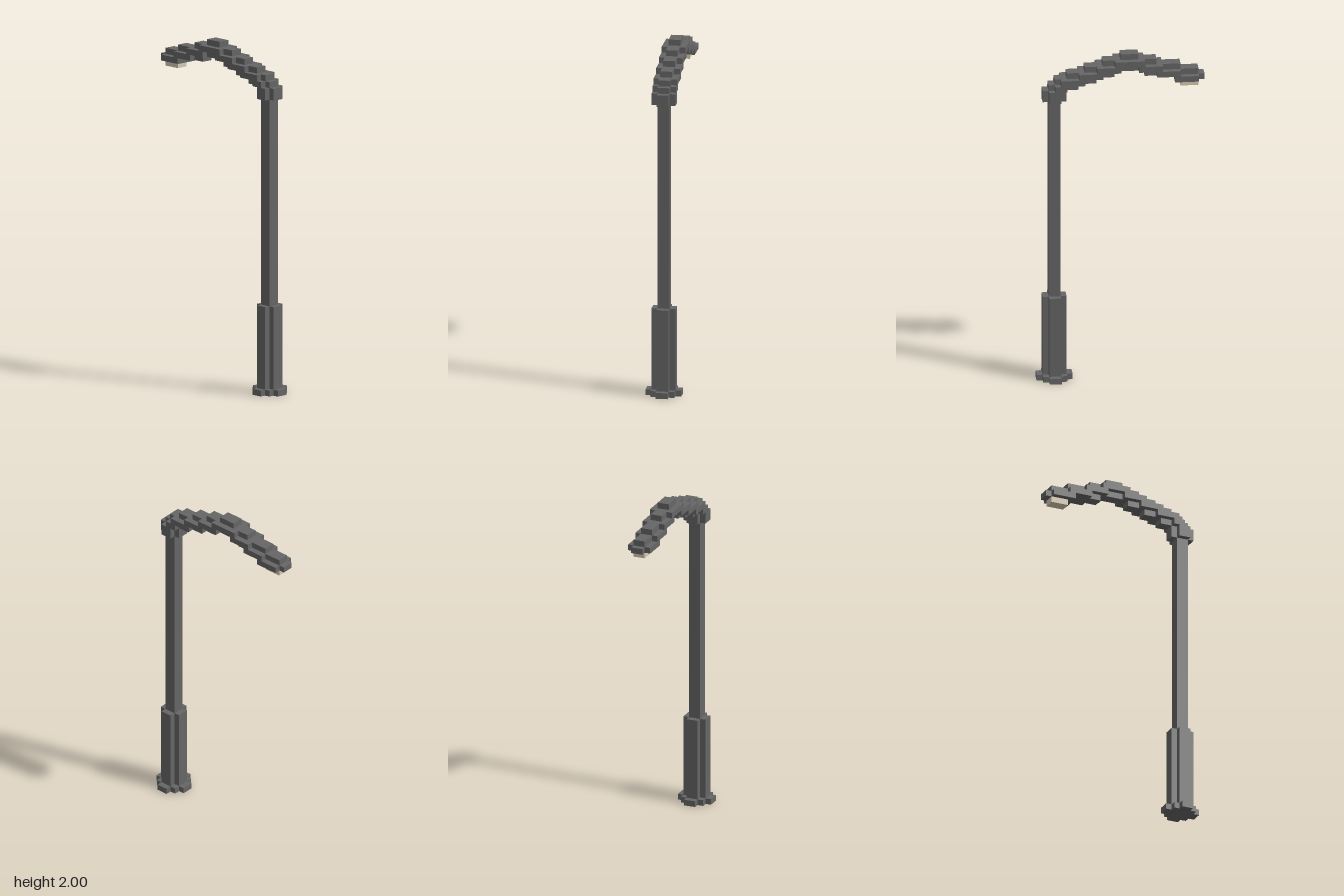
import * as THREE from 'three';
import { mergeGeometries } from 'three/addons/utils/BufferGeometryUtils.js';

const U = 2 / 58; // size of one block

// Box between block coordinates
function block(x0, x1, y0, y1, z0, z1) {
  const g = new THREE.BoxGeometry((x1 - x0) * U, (y1 - y0) * U, (z1 - z0) * U);
  return g.translate((x0 + x1) / 2 * U, (y0 + y1) / 2 * U, (z0 + z1) / 2 * U);
}

// Stepped round column about the pole axis; widths lists [halfX, outer halfZ]
// from the widest x to the narrowest, each adding a strip on both z sides
function column(y0, y1, widths) {
  const parts = [];
  let inner = 0;
  for (const [hx, hz] of widths) {
    if (inner === 0) parts.push(block(11 - hx, 11 + hx, y0, y1, -hz, hz));
    else {
      parts.push(block(11 - hx, 11 + hx, y0, y1, inner, hz));
      parts.push(block(11 - hx, 11 + hx, y0, y1, -hz, -inner));
    }
    inner = hz;
  }
  return parts;
}

export function createModel() {
  const group = new THREE.Group();
  group.name = 'streetLamp';
  const metal = new THREE.MeshStandardMaterial({ color: 0x666666 });
  metal.name = 'grey metal';
  const glow = new THREE.MeshStandardMaterial({ color: 0xd9ccb4 });
  glow.name = 'warm lamp';

  const add = (name, parts, material) => {
    const mesh = new THREE.Mesh(mergeGeometries(parts), material);
    mesh.name = name;
    group.add(mesh);
  };

  // Upright
  add('baseFoot', column(0, 1, [[3, 1], [2, 2], [1, 3]]), metal);
  add('lowerSleeve', column(1, 15, [[2, 1], [1, 2]]), metal);
  add('pole', column(15, 50, [[1, 1]]), metal);
  add('topCollar', column(50, 52, [[2, 1], [1, 2]]), metal);

  // Arched arm, core: rows of [y, x start, x end]
  const core = [
    [57, -3, 0], [56, -6, 3], [55, -10, 6],
    [54, -13, -4], [54, 1, 9],
    [53, -14, -9], [53, 4, 11], [52, 7, 12],
  ];
  add('armCore', core.map(([y, a, b]) => block(a, b, y, y + 1, -1, 1)), metal);

  // Arched arm, side ridges mirrored in z
  const ridge = [
    [56, -4, 1], [55, -7, -3], [55, 0, 4],
    [54, -10, -6], [54, 3, 7],
    [53, -13, -9], [53, 6, 10], [52, 9, 11],
  ];
  const sides = ridge.flatMap(([y, a, b]) => [
    block(a, b, y, y + 1, 1, 2),
    block(a, b, y, y + 1, -2, -1),
  ]);
  add('armSideRidges', sides, metal);

  // Light under the tip of the arm
  add('lampPanel', [block(-13, -10, 52, 53, -1, 1)], glow);

  return group;
}
